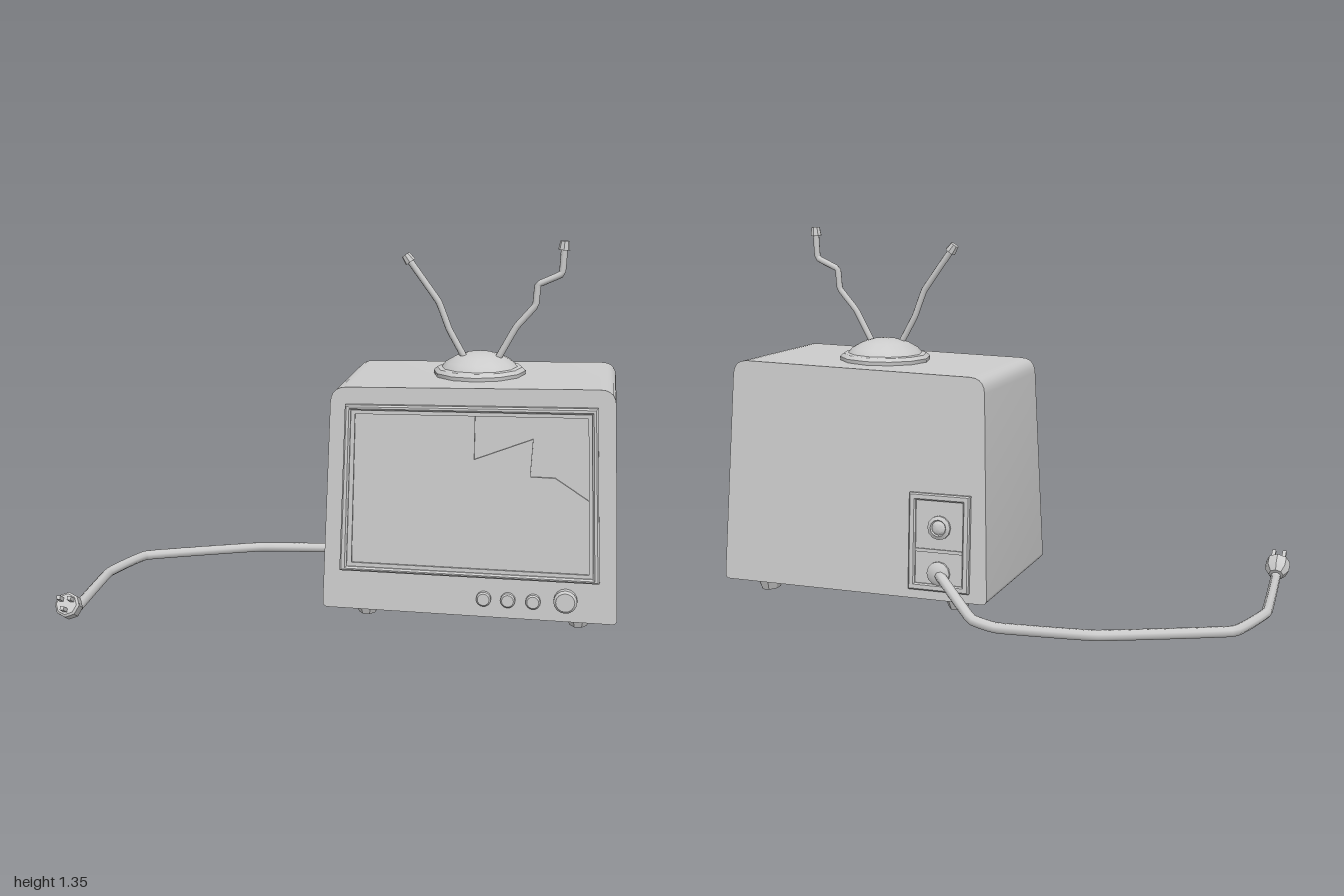
import * as THREE from 'three';
import { toCreasedNormals } from 'three/addons/utils/BufferGeometryUtils.js';

const mat = new THREE.MeshStandardMaterial({ color: 0xcccccc });
// Front and back planes lean towards each other as they rise
const frontZ = (y) => 0.288 - 0.049 * y;
const backZ = (y) => -0.379 + 0.068 * y;

function add(parent, name, geo, x = 0, y = 0, z = 0) {
  const mesh = new THREE.Mesh(geo, mat);
  mesh.name = name;
  mesh.position.set(x, y, z);
  parent.add(mesh);
  return mesh;
}

const smooth = (geo, angle = 0.6) => toCreasedNormals(geo, angle);
const polygon = (pts) => new THREE.Shape(pts.map((p) => new THREE.Vector2(...p)));

// Polygon with softened corners; corners are [x, y, radius]
function roundedShape(corners) {
  const n = corners.length;
  const shape = new THREE.Shape();
  corners.forEach(([x, y, r], i) => {
    const p = new THREE.Vector2(x, y);
    const toward = (q) => new THREE.Vector2(q[0], q[1]).sub(p).setLength(r).add(p);
    const a = toward(corners[(i + n - 1) % n]);
    const b = toward(corners[(i + 1) % n]);
    if (i === 0) shape.moveTo(a.x, a.y); else shape.lineTo(a.x, a.y);
    shape.quadraticCurveTo(x, y, b.x, b.y);
  });
  shape.closePath();
  return shape;
}

const extrude = (shape, depth, bevel = 0) => new THREE.ExtrudeGeometry(shape, {
  depth: depth - bevel, curveSegments: 5, bevelEnabled: bevel > 0,
  bevelSize: bevel, bevelThickness: bevel, bevelOffset: -bevel, bevelSegments: 1,
});

function frame(outer, inner, depth, bevel) {
  const shape = polygon(outer);
  shape.holes.push(new THREE.Path(inner.map((p) => new THREE.Vector2(...p))));
  return extrude(shape, depth, bevel);
}

const rect = (x0, y0, x1, y1) => [[x0, y0], [x1, y0], [x1, y1], [x0, y1]];

// Lathe whose axis points along +z; profile is [radius, height]
function turned(profile, sides) {
  const geo = new THREE.LatheGeometry(profile.map((p) => new THREE.Vector2(...p)), sides);
  return smooth(geo.rotateX(Math.PI / 2));
}

function tube(points, radius, segments) {
  const curve = new THREE.CatmullRomCurve3(
    points.map((p) => new THREE.Vector3(...p)), false, 'catmullrom', 0.12);
  return new THREE.TubeGeometry(curve, segments, radius, 8);
}

function createModel() {
  const model = new THREE.Group();
  model.name = 'television';

  // Cabinet: rounded outline stretched between the two leaning planes
  const cabinet = extrude(roundedShape([
    [-0.045, 0.055, 0.02], [1.0, 0.055, 0.02], [0.965, 0.878, 0.055], [-0.02, 0.855, 0.055],
  ]), 1);
  const pos = cabinet.attributes.position;
  for (let i = 0; i < pos.count; i++) {
    const y = pos.getY(i);
    pos.setZ(i, THREE.MathUtils.lerp(backZ(y), frontZ(y), pos.getZ(i)));
  }
  cabinet.computeVertexNormals();
  add(model, 'cabinet', smooth(cabinet));

  // Front face parts lie on the leaning front plane
  const front = new THREE.Group();
  front.name = 'frontFace';
  front.position.z = frontZ(0);
  front.rotation.x = -Math.atan(0.049);
  model.add(front);

  const outer = [[0.02, 0.2], [0.935, 0.203], [0.907, 0.816], [0.035, 0.798]];
  const middle = [[0.045, 0.216], [0.912, 0.219], [0.888, 0.794], [0.056, 0.78]];
  const inner = [[0.062, 0.23], [0.898, 0.232], [0.876, 0.78], [0.07, 0.766]];
  add(front, 'screenFrame', frame(outer, middle, 0.028, 0.006));
  add(front, 'screenLip', frame(middle, inner, 0.016));
  // Glass with its upper right corner broken away
  add(front, 'brokenGlass', extrude(polygon([
    [0.055, 0.222], [0.905, 0.225], [0.89, 0.49], [0.77, 0.567], [0.685, 0.567],
    [0.692, 0.7], [0.49, 0.62], [0.49, 0.775], [0.063, 0.773],
  ]), 0.008));

  // Control knobs
  for (const [x, y, r, h] of [
    [0.535, 0.123, 0.026, 0.022], [0.62, 0.123, 0.026, 0.022],
    [0.708, 0.123, 0.026, 0.022], [0.82, 0.133, 0.041, 0.033],
  ]) {
    add(front, 'knob', turned([[r, 0], [r, h * 0.75], [r * 0.8, h], [0, h]], 16), x, y, 0);
  }

  // Rear socket panel on the leaning back plane, with x mirrored
  const back = new THREE.Group();
  back.name = 'socketPanel';
  back.position.set(0.135, 0, backZ(0));
  back.rotation.set(Math.atan(0.068), Math.PI, 0);
  model.add(back);
  add(back, 'panelFrame', frame(rect(-0.115, 0.09, 0.115, 0.44), rect(-0.09, 0.115, 0.09, 0.415), 0.018, 0.005));
  add(back, 'panelPlate', extrude(polygon(rect(-0.095, 0.11, 0.095, 0.42)), 0.007));
  add(back, 'panelDivider', new THREE.BoxGeometry(0.18, 0.012, 0.014), 0, 0.235, 0.006);
  add(back, 'upperSocket', turned([[0.043, 0], [0.043, 0.012], [0.03, 0.018], [0.026, 0.012], [0.018, 0.02], [0, 0.024]], 12), 0, 0.32, 0.004);
  add(back, 'cableSocket', turned([[0.043, 0], [0.043, 0.012], [0.028, 0.022], [0, 0.024]], 12), 0, 0.155, 0.004);

  // Tapered feet
  for (const x of [0.1, 0.865]) {
    for (const z of [0.157, -0.27]) {
      const foot = new THREE.CylinderGeometry(0.07, 0.044, 0.06, 8).rotateY(Math.PI / 8).scale(0.76, 1, 1.04);
      add(model, 'foot', smooth(foot), x, 0.035, z);
    }
  }

  // Aerial base: stepped dome
  const dome = new THREE.LatheGeometry([
    [0.165, -0.012], [0.168, 0.012], [0.155, 0.024], [0.138, 0.026], [0.122, 0.045],
    [0.085, 0.066], [0.045, 0.077], [0, 0.08],
  ].map((p) => new THREE.Vector2(...p)), 12).scale(1, 1, 1.05);
  add(model, 'aerialBase', smooth(dome), 0.475, 0.868, -0.05).rotation.z = 0.022;

  // Bent aerial rods with small tips
  const rods = [
    [[0.43, 0.915], [0.365, 1.03], [0.325, 1.13], [0.212, 1.285]],
    [[0.535, 0.915], [0.605, 1.045], [0.672, 1.125], [0.68, 1.2], [0.762, 1.24], [0.768, 1.34]],
  ];
  for (const rod of rods) {
    const pts = rod.map(([x, y]) => [x, y, -0.02]);
    add(model, 'aerialRod', tube(pts, 0.012, 40));
    const [a, b] = rod.slice(-2);
    const tip = add(model, 'aerialTip', smooth(new THREE.CylinderGeometry(0.016, 0.021, 0.032, 8)), b[0], b[1], -0.02);
    tip.rotation.z = Math.atan2(b[1] - a[1], b[0] - a[0]) - Math.PI / 2;
  }

  // Power cable trailing round to the front
  add(model, 'cable', tube([
    [0.135, 0.15, -0.375], [0.11, 0.145, -0.405], [-0.035, 0.045, -0.505], [-0.13, 0.025, -0.508],
    [-0.47, 0.022, -0.465], [-0.9, 0.022, -0.27], [-0.975, 0.022, -0.03], [-0.945, 0.022, 0.4],
    [-0.945, 0.04, 0.43],
  ], 0.019, 90));

  // Plug tilted upwards, with three prongs
  const plug = new THREE.Group();
  plug.name = 'plug';
  plug.position.set(-0.945, 0.055, 0.45);
  plug.rotation.x = -0.55;
  model.add(plug);
  add(plug, 'plugBody', turned([[0, -0.042], [0.028, -0.042], [0.046, -0.015], [0.046, 0.025], [0.038, 0.032], [0, 0.032]], 8));
  for (const [x, y] of [[-0.02, 0.016], [0.02, 0.016], [0, -0.022]]) {
    add(plug, 'prong', new THREE.BoxGeometry(0.014, 0.014, 0.04), x, y, 0.048);
  }

  return model;
}

export { createModel };
